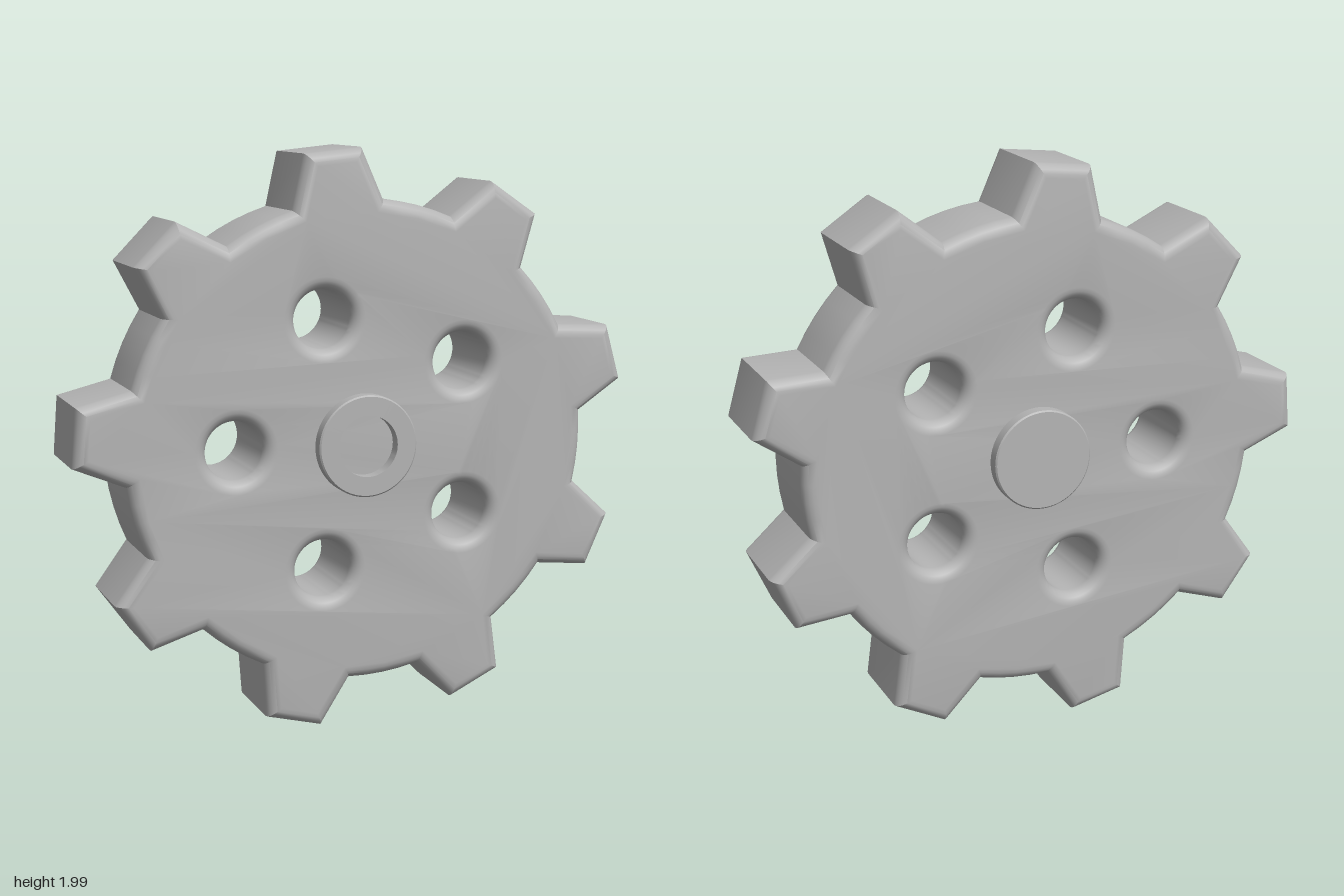
import * as THREE from 'three';
import { toCreasedNormals } from 'three/addons/utils/BufferGeometryUtils.js';

const TEETH = 9, HOLES = 5;
const ROOT_RADIUS = 0.828, TIP_RADIUS = 0.999;
const HALF_DEPTH = 0.182, ROUNDING = 0.045;
const rad = THREE.MathUtils.degToRad;

const polar = (radius, degrees) =>
  new THREE.Vector2(radius * Math.cos(rad(degrees)), radius * Math.sin(rad(degrees)));

// Toothed outline: a tapered tooth, then a short arc along the root circle
function gearShape() {
  const outline = [];
  for (let i = 0; i < TEETH; i++) {
    const a = 95.7 + (i * 360) / TEETH;
    outline.push(polar(TIP_RADIUS, a - 5.8), polar(TIP_RADIUS, a + 5.8));
    for (let j = 0; j <= 4; j++) outline.push(polar(ROOT_RADIUS, a + 11.2 + j * 4.4));
  }
  const shape = new THREE.Shape(outline);
  // Ring of round through holes
  for (let i = 0; i < HOLES; i++) {
    const c = polar(0.451, 36 + (i * 360) / HOLES);
    shape.holes.push(new THREE.Path().absarc(c.x, c.y, 0.1, 0, Math.PI * 2, true));
  }
  return shape;
}

export function createModel() {
  const group = new THREE.Group();
  group.name = 'gearWheel';
  const metal = new THREE.MeshStandardMaterial({ color: 0xb4b4b4 });
  metal.name = 'greyMetal';

  // Wheel with rounded rims on both faces
  const wheelGeometry = new THREE.ExtrudeGeometry(gearShape(), {
    depth: 2 * (HALF_DEPTH - ROUNDING),
    steps: 1,
    curveSegments: 32,
    bevelEnabled: true,
    bevelThickness: ROUNDING,
    bevelSize: ROUNDING,
    bevelOffset: -ROUNDING,
    bevelSegments: 5,
  });
  wheelGeometry.translate(0, 0, ROUNDING - HALF_DEPTH);
  const wheel = new THREE.Mesh(toCreasedNormals(wheelGeometry, 0.5), metal);
  wheel.name = 'toothedWheel';
  wheel.position.y = 1;
  group.add(wheel);

  // Hub: flat closed back, stepped front recess with a small blind centre hole
  const hubProfile = [
    [0, -0.228], [0.17, -0.228], [0.175, -0.223], [0.175, 0.223], [0.17, 0.228],
    [0.105, 0.228], [0.105, 0.165], [0.078, 0.165], [0.058, 0.158],
    [0.042, 0.143], [0.035, 0.12], [0.035, 0.05], [0, 0.05],
  ].map(([r, h]) => new THREE.Vector2(r, h));
  const hubGeometry = new THREE.LatheGeometry(hubProfile, 64).rotateX(Math.PI / 2);
  const hub = new THREE.Mesh(toCreasedNormals(hubGeometry, 0.5), metal);
  hub.name = 'hub';
  hub.position.y = 1;
  group.add(hub);

  return group;
}
